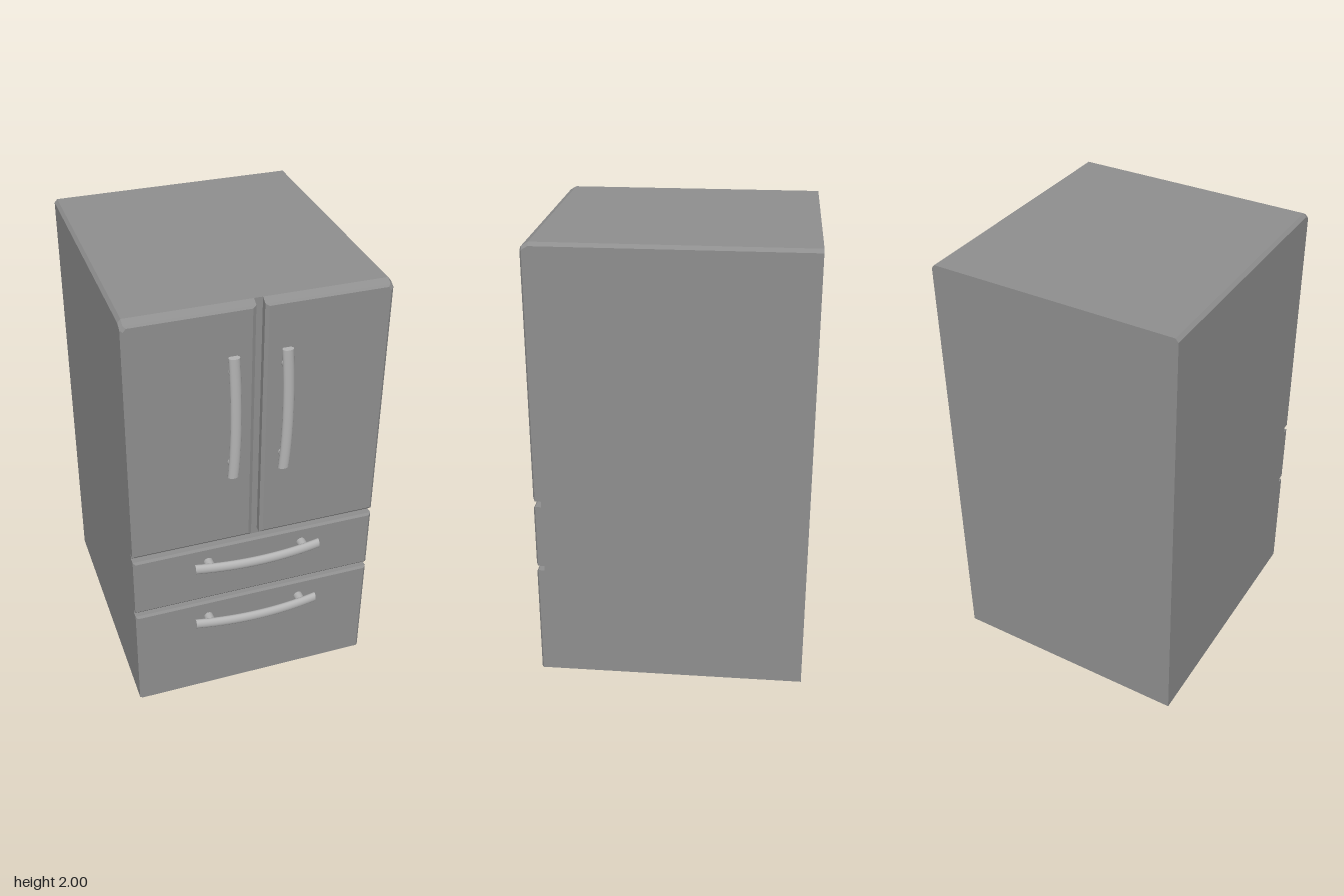
import * as THREE from 'three';
import { ConvexGeometry } from 'three/addons/geometries/ConvexGeometry.js';

const HALF = 0.553, BACK = -0.635, SEAM = 0.52, FRONT = 0.555, BEVEL = 0.01;
const bodyMaterial = new THREE.MeshStandardMaterial({ color: 0x8f8f8f });
const handleMaterial = new THREE.MeshStandardMaterial({ color: 0xb4b4b4 });

function addMesh(parent, name, geometry, material) {
  const mesh = new THREE.Mesh(geometry, material);
  mesh.name = name;
  parent.add(mesh);
  return mesh;
}

// Cabinet: cross-section with chamfered upper edges, run from back to front
function cabinetGeometry() {
  const shape = new THREE.Shape([
    [-HALF, 0], [HALF, 0], [HALF, 1.985], [HALF - 0.013, 2], [-HALF + 0.013, 2], [-HALF, 1.985],
  ].map(([x, y]) => new THREE.Vector2(x, y)));
  return new THREE.ExtrudeGeometry(shape, { depth: SEAM - BACK, bevelEnabled: false }).translate(0, 0, BACK);
}

// Drawer front: slab with a bevelled face
function drawerGeometry(y0, y1, bottomBevel) {
  const points = [];
  for (const [z, inset] of [[SEAM, 0], [FRONT - 0.008, 0], [FRONT, BEVEL]]) {
    for (const x of [-HALF + inset, HALF - inset]) {
      points.push(new THREE.Vector3(x, y0 + (bottomBevel ? inset : 0), z));
      points.push(new THREE.Vector3(x, y1 - inset, z));
    }
  }
  return new ConvexGeometry(points);
}

// Door: bevelled slab whose top slopes forward and whose outer top corner is cut
function doorGeometry(side) {
  const points = [];
  for (const [z, inset, top] of [[SEAM, 0, 2], [FRONT - 0.008, 0, 1.984], [FRONT, BEVEL, 1.975]]) {
    const inner = 0.018 + inset * 1.5, outer = HALF - inset, bottom = 0.86 + inset;
    for (const [x, y] of [[inner, bottom], [outer, bottom], [outer, top - 0.015], [outer - 0.013, top], [inner, top]]) {
      points.push(new THREE.Vector3(side * x, y, z));
    }
  }
  return new ConvexGeometry(points);
}

// Bowed bar with an oval section on two round posts; upright, middle at z = reach
function makeHandle(name, reach) {
  const handle = new THREE.Group();
  handle.name = name;
  const half = 0.287;
  const bar = new THREE.CylinderGeometry(0.016, 0.016, half * 2, 24, 20).scale(1.47, 1, 1);
  const p = bar.attributes.position;
  for (let i = 0; i < p.count; i++) {
    p.setZ(i, p.getZ(i) + reach - 0.029 * (p.getY(i) / half) ** 2);
  }
  addMesh(handle, 'handleBar', bar, handleMaterial);
  const postEnd = reach - 0.017, postStart = FRONT - 0.01;
  for (const s of [-1, 1]) {
    const post = new THREE.CylinderGeometry(0.021, 0.021, postEnd - postStart, 20).rotateX(Math.PI / 2);
    addMesh(handle, 'handlePost', post, handleMaterial).position.set(0, s * 0.217, (postStart + postEnd) / 2);
  }
  return handle;
}

export function createModel() {
  const model = new THREE.Group();
  model.name = 'refrigerator';
  addMesh(model, 'cabinet', cabinetGeometry(), bodyMaterial);

  // Upper doors
  for (const side of [-1, 1]) {
    const label = side > 0 ? 'left' : 'right';
    addMesh(model, label + 'Door', doorGeometry(side), bodyMaterial);
    const handle = makeHandle(label + 'DoorHandle', 0.596);
    handle.position.set(side * 0.111, 1.493, 0);
    model.add(handle);
  }

  // Drawers
  const drawers = [['upperDrawer', 0.54, 0.833, 0.756, true], ['lowerDrawer', 0, 0.517, 0.43, false]];
  for (const [name, y0, y1, handleY, bottomBevel] of drawers) {
    addMesh(model, name, drawerGeometry(y0, y1, bottomBevel), bodyMaterial);
    const handle = makeHandle(name + 'Handle', 0.616);
    handle.rotation.z = Math.PI / 2;
    handle.position.y = handleY;
    model.add(handle);
  }
  return model;
}
